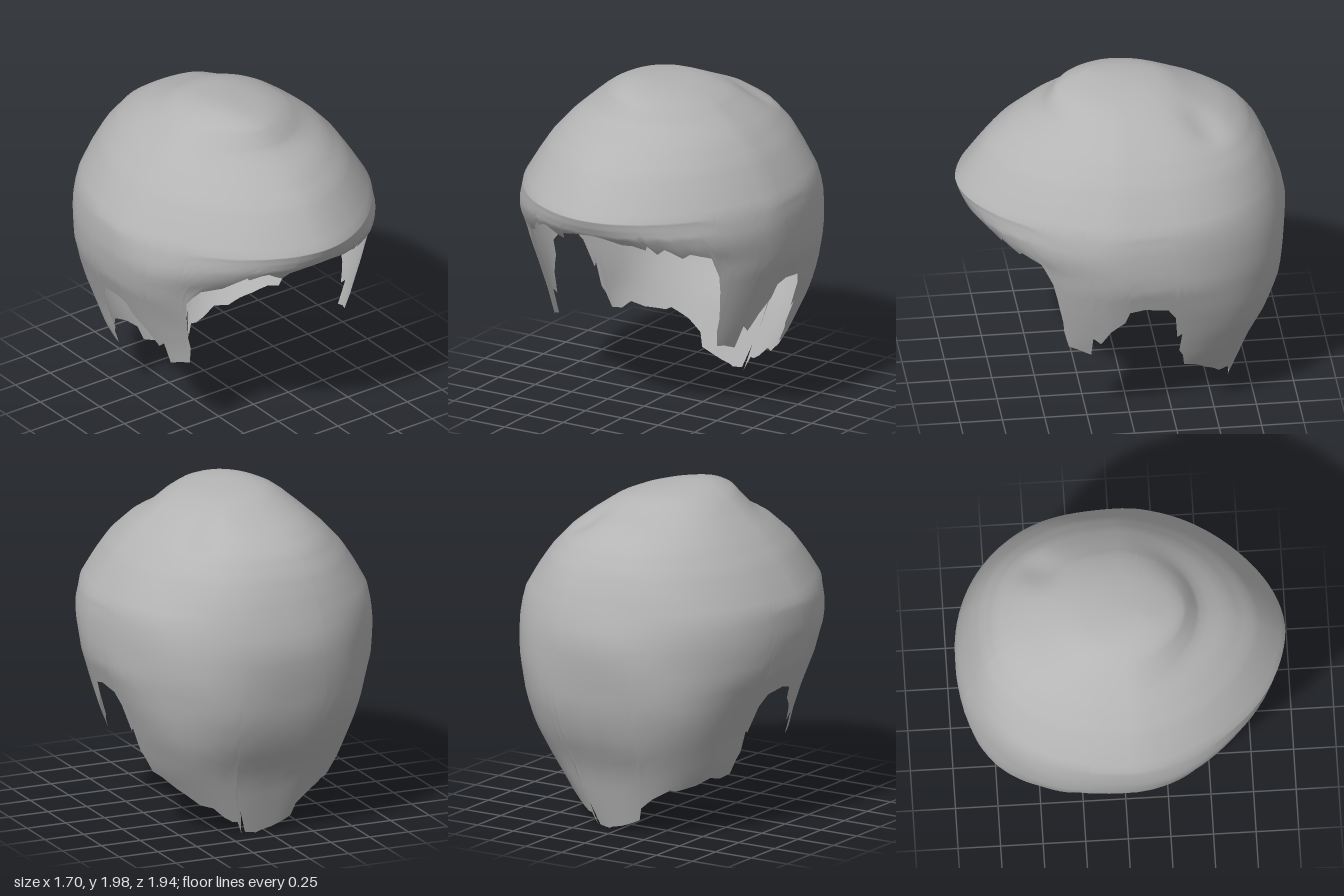
import * as THREE from 'three';
import { mergeVertices } from 'three/addons/utils/BufferGeometryUtils.js';

// Cross-sections: height, right x, left x, front z, back z
const SECTIONS = [
  [2.0, -0.1, -0.08, 0.1, 0.08], [1.995, -0.18, -0.02, 0.18, -0.04], [1.97, -0.27, 0.15, 0.3, -0.26],
  [1.94, -0.33, 0.25, 0.37, -0.34], [1.9, -0.385, 0.345, 0.405, -0.43], [1.82, -0.48, 0.46, 0.47, -0.62],
  [1.74, -0.57, 0.56, 0.635, -0.74], [1.62, -0.68, 0.67, 0.79, -0.83], [1.5, -0.76, 0.75, 0.885, -0.885],
  [1.38, -0.83, 0.82, 0.97, -0.925], [1.33, -0.84, 0.83, 0.955, -0.94], [1.28, -0.845, 0.84, 0.93, -0.955],
  [1.2, -0.85, 0.845, 0.85, -0.97], [1.1, -0.84, 0.845, 0.75, -0.968], [1.0, -0.82, 0.835, 0.71, -0.96],
  [0.8, -0.735, 0.77, 0.69, -0.93], [0.6, -0.655, 0.7, 0.68, -0.865], [0.4, -0.6, 0.62, 0.66, -0.76],
  [0.2, -0.48, 0.49, 0.63, -0.695], [0, -0.36, 0.37, 0.6, -0.63],
];

// Rim as [angle from the front in degrees, height]
const FRINGE_LEFT = [
  [0, 1.275], [4, 1.28], [8, 1.27], [15, 1.23], [19, 1.23], [23, 1.2], [25, 1.235], [26.5, 1.17],
  [31, 1.21], [36, 1.14], [40, 1.17], [48, 1.13],
];
const FRINGE_RIGHT = [
  [6, 1.265], [12, 1.24], [13, 1.19], [22, 1.26], [25, 1.25], [28, 1.22], [29.5, 1.24], [36, 1.14], [44, 1.1], [48, 1.04],
];
const SIDE = [
  [50, 1.0], [52, 0.9], [53, 0.83], [55, 0.72], [55.5, 0.64], [58, 0.53], [63, 0.52], [70, 0.49],
  [71, 0.63], [75, 0.59], [80, 0.69], [87, 0.77], [88.5, 0.85], [92, 0.87], [98, 0.85], [100, 0.78],
  [101, 0.62], [102.5, 0.64], [103, 0.5], [105, 0.46], [107, 0.37], [113, 0.35],
];
const NAPE = [
  [121, 0.29], [128, 0.25], [135, 0.2], [145, 0.19], [152, 0.13], [158, 0.1], [162, 0.1], [164, 0.02],
  [165, 0.17], [167, 0.03], [175, 0.02], [184, 0.06], [194, 0.1], [195, 0.18], [203, 0.25], [214, 0.31],
  [218, 0.3], [232, 0.33], [240, 0.37],
];
const mirrored = (pts) => pts.map(([a, y]) => [360 - a, y]).reverse();
const RIM = [...FRINGE_LEFT, ...SIDE, ...NAPE, ...mirrored(SIDE), ...mirrored(FRINGE_RIGHT), [360, 1.275]];

const { lerp, smoothstep, degToRad } = THREE.MathUtils;

function sectionAt(y) {
  let i = 0;
  while (i < SECTIONS.length - 2 && SECTIONS[i + 1][0] > y) i++;
  const a = SECTIONS[i], b = SECTIONS[i + 1];
  const t = (a[0] - y) / (a[0] - b[0]);
  return a.map((v, k) => lerp(v, b[k], t));
}

// Point on the shell: pointed brow, squarer nape
function shellPoint(angle, y) {
  const [, right, left, front, back] = sectionAt(y);
  const s = Math.sin(angle), c = Math.cos(angle);
  const frontShape = lerp(2.1, 1.8, smoothstep(y, 1.15, 1.38));
  const backShape = lerp(2.8, 2.25 + 0.1 * s, smoothstep(y, 0.6, 1.2));
  const power = 2 / lerp(backShape, frontShape, smoothstep(c, -0.3, 0.3));
  const crown = smoothstep(y, 1.85, 1.98);
  const cx = crown * (left + right) / 2, cz = crown * (front + back) / 2;
  const x = cx + ((s > 0 ? left : right) - cx) * Math.sign(s) * Math.sign(s) * Math.abs(s) ** power;
  const z = cz + ((c > 0 ? front : back) - cz) * Math.abs(c) ** power;
  // Gentle hand-shaped unevenness
  const wave = 1 + 0.006 * Math.sin(5 * angle + 4 * y) * Math.sin(6 * y + 2 * angle) * (1 - crown);
  // Shallow dent behind the crown
  const dent = y > 1.5 ? 0.035 * Math.exp(-((x - 0.32) ** 2 + (z + 0.47) ** 2) / 0.012) : 0;
  return [x * wave, y - dent, z * wave];
}

function hairGeometry() {
  // Subdivide wide rim steps so that the columns stay narrow
  const columns = [];
  for (let i = 0; i < RIM.length - 1; i++) {
    const [a0, y0] = RIM[i], [a1, y1] = RIM[i + 1];
    const n = Math.ceil((a1 - a0) / 4);
    for (let k = 0; k < n; k++) {
      columns.push([lerp(a0, a1, k / n), lerp(y0, y1, k / n)]);
    }
  }
  // Level rows down to the brow, then rows that follow the rim
  const brow = 1.38, upper = 22, lower = 16, rows = upper + lower;
  const pos = [], index = [];
  for (const [deg, rimY] of columns) {
    for (let r = 0; r <= rows; r++) {
      const y = r <= upper
        ? 2 - (2 - brow) * (r / upper) ** 1.6
        : lerp(brow, rimY, (r - upper) / lower);
      pos.push(...(r === 0 ? [-0.09, 2, 0.09] : shellPoint(degToRad(deg), y)));
    }
  }
  const stride = rows + 1;
  for (let c = 0; c < columns.length; c++) {
    const n = (c + 1) % columns.length;
    for (let r = 0; r < rows; r++) {
      const a = c * stride + r, b = n * stride + r;
      if (r > 0) index.push(a, a + 1, b);
      index.push(a + 1, b + 1, b);
    }
  }
  const geometry = new THREE.BufferGeometry();
  geometry.setAttribute('position', new THREE.Float32BufferAttribute(pos, 3));
  geometry.setIndex(index);
  const merged = mergeVertices(geometry, 1e-5);
  merged.computeVertexNormals();
  return merged;
}

export function createModel() {
  const group = new THREE.Group();
  group.name = 'hairpiece';
  const hairGrey = new THREE.MeshStandardMaterial({ color: 0xb4b4b4, side: THREE.DoubleSide });
  hairGrey.name = 'hairGrey';
  const hair = new THREE.Mesh(hairGeometry(), hairGrey);
  hair.name = 'hairShell';
  group.add(hair);
  return group;
}
